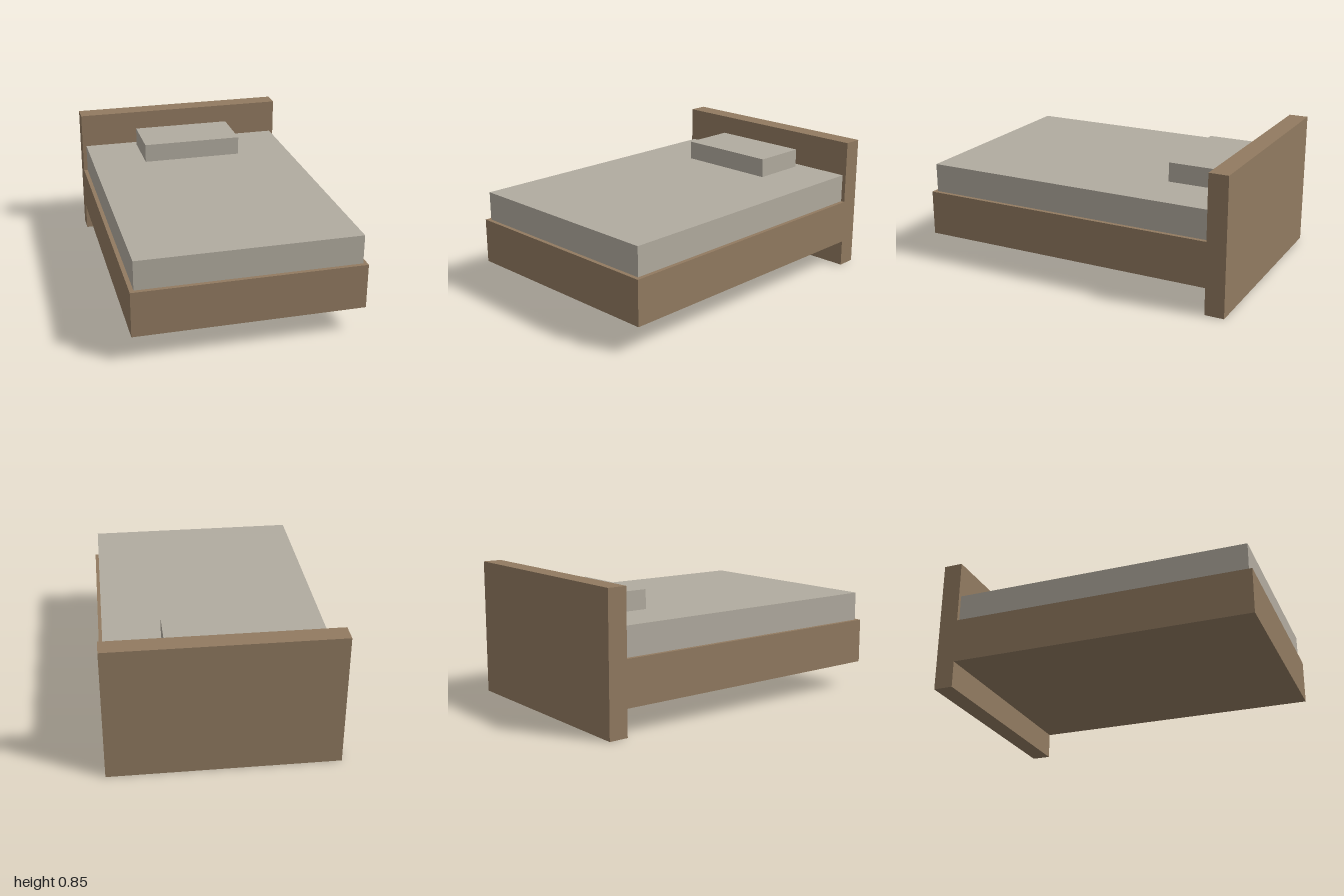
import * as THREE from 'three';

const wood = new THREE.MeshStandardMaterial({ color: 0x917a60 });
wood.name = 'wood';
const linen = new THREE.MeshStandardMaterial({ color: 0xb1ab9f });
linen.name = 'linen';

// Box spanning the given y and z ranges, centred on x = 0
function block(name, material, width, [y0, y1], [z0, z1]) {
  const mesh = new THREE.Mesh(new THREE.BoxGeometry(width, y1 - y0, z1 - z0), material);
  mesh.position.set(0, (y0 + y1) / 2, (z0 + z1) / 2);
  mesh.name = name;
  return mesh;
}

export function createModel() {
  const bed = new THREE.Group();
  bed.name = 'bed';
  bed.add(
    // Wooden frame
    block('headboard', wood, 1.4, [0, 0.85], [-1, -0.88]),
    block('bedBase', wood, 1.4, [0.167, 0.447], [-0.88, 1]),
    // Bedding
    block('mattress', linen, 1.35, [0.447, 0.627], [-0.88, 0.975]),
    block('pillow', linen, 0.65, [0.627, 0.747], [-0.825, -0.475]),
  );
  return bed;
}
